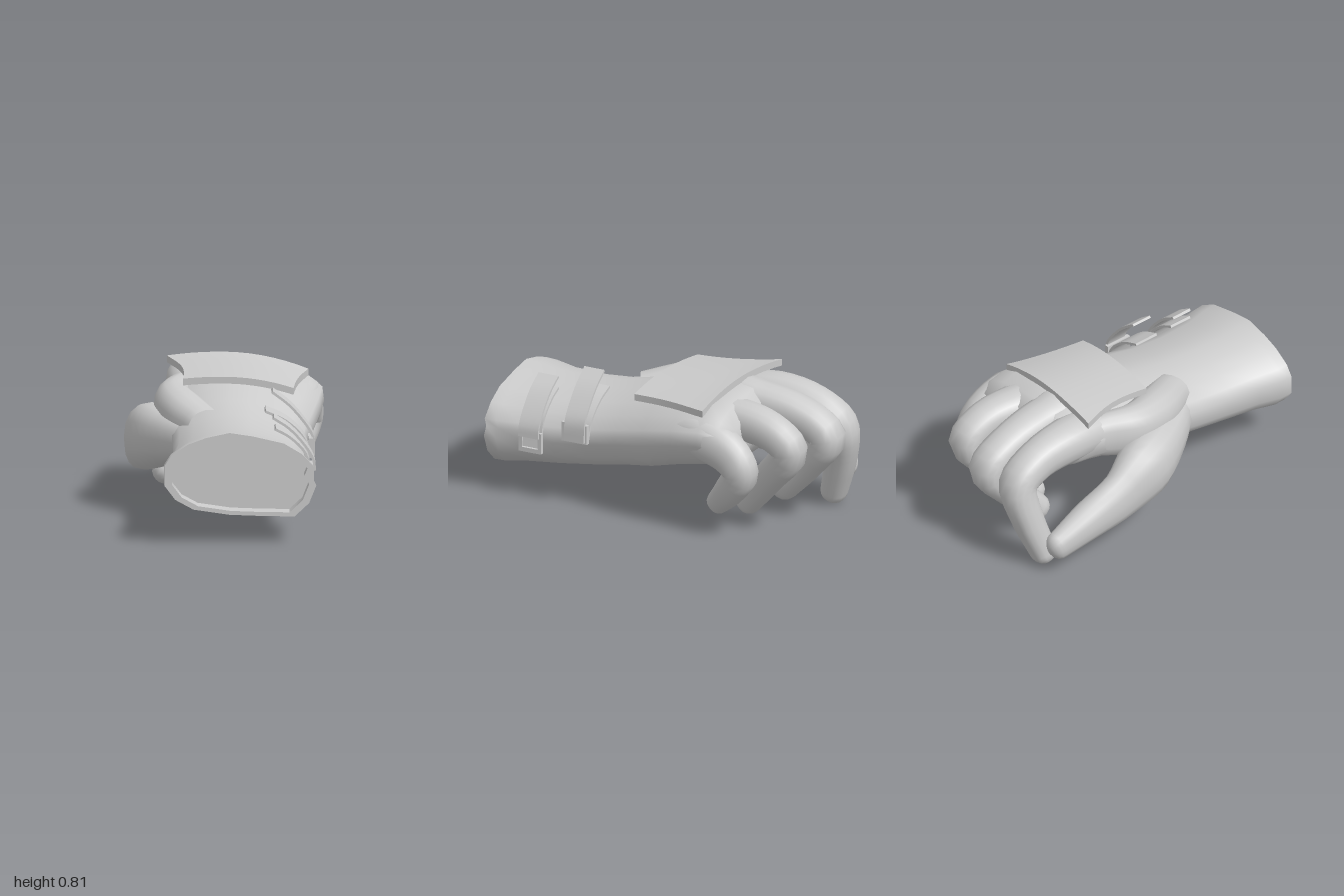
import * as THREE from 'three';
import { toCreasedNormals } from 'three/addons/utils/BufferGeometryUtils.js';

const material = new THREE.MeshStandardMaterial({ color: 0xcccccc });
const lerp = THREE.MathUtils.lerp;

function addMesh(group, name, geometry) {
  const mesh = new THREE.Mesh(geometry, material);
  mesh.name = name;
  group.add(mesh);
  return mesh;
}

// Skin over a list of closed rings, each an array of Vector3.
function loft(rings) {
  const n = rings[0].length, positions = [], index = [];
  rings.forEach(r => r.forEach(p => positions.push(p.x, p.y, p.z)));
  for (let i = 0; i < rings.length - 1; i++) {
    for (let j = 0; j < n; j++) {
      const a = i * n + j, b = i * n + (j + 1) % n;
      index.push(a, a + n, b, b, a + n, b + n);
    }
  }
  const g = new THREE.BufferGeometry();
  g.setAttribute('position', new THREE.Float32BufferAttribute(positions, 3));
  g.setIndex(index);
  g.computeVertexNormals();
  return g;
}

// Forearm cross-section, counter-clockwise, scaled to each station's bounds.
const SECTION = [
  [0.48, 0.33], [0.475, 0.38], [0.47, 0.43], [0.4, 0.505], [0.3, 0.565], [0.13, 0.605],
  [0, 0.625], [-0.13, 0.597], [-0.23, 0.56], [-0.32, 0.5], [-0.36, 0.44], [-0.36, 0.33],
  [-0.3, 0.25], [-0.2, 0.195], [0, 0.165], [0.2, 0.157], [0.36, 0.155], [0.44, 0.23],
];

function bodyRing([z, x0, x1, y0, y1], dent = 0) {
  return SECTION.map(([x, y], i) => new THREE.Vector3(
    lerp(x0, x1, (x + 0.36) / 0.84) - (i === 1 ? dent : 0),
    lerp(y0, y1, (y - 0.155) / 0.47), z));
}

// Finger-like limb: points are [x, y, z, half width, half height], with a round tip.
function limb(points, sides = 16, steps = 20) {
  const path = new THREE.CatmullRomCurve3(points.map(p => new THREE.Vector3(p[0], p[1], p[2])));
  const size = new THREE.CatmullRomCurve3(points.map(p => new THREE.Vector3(p[3], p[4], 0)));
  const rings = [];
  const soften = c => Math.sign(c) * Math.pow(Math.abs(c), 0.88);
  const ring = (centre, t, rx, ry) => {
    const s = new THREE.Vector3(1, 0, 0).addScaledVector(t, -t.x).normalize();
    const up = new THREE.Vector3().crossVectors(s, t);
    rings.push(Array.from({ length: sides }, (_, j) => {
      const a = j / sides * Math.PI * 2;
      return centre.clone().addScaledVector(s, soften(Math.cos(a)) * rx)
        .addScaledVector(up, soften(Math.sin(a)) * ry);
    }));
  };
  for (let i = 0; i <= steps; i++) {
    const k = i / steps, r = size.getPoint(k);
    ring(path.getPoint(k), path.getTangent(k), r.x, r.y);
  }
  const end = path.getPoint(1), t = path.getTangent(1), r = size.getPoint(1);
  for (let i = 1; i <= 5; i++) {
    const a = i / 5 * Math.PI / 2, c = Math.max(Math.cos(a), 0.002);
    ring(end.clone().addScaledVector(t, Math.sin(a) * r.x), t, r.x * c, r.y * c);
  }
  return loft(rings);
}

// Thin band following an x-y path, with its width along z.
function ribbon(points, z, width, thickness = 0.014) {
  const path = new THREE.CatmullRomCurve3(points.map(p => new THREE.Vector3(p[0], p[1], 0)));
  const outer = [], inner = [];
  for (let i = 0; i <= 12; i++) {
    const p = path.getPoint(i / 12), t = path.getTangent(i / 12);
    outer.push(new THREE.Vector2(p.x, p.y));
    inner.unshift(new THREE.Vector2(p.x + t.y * thickness, p.y - t.x * thickness));
  }
  const g = new THREE.ExtrudeGeometry(new THREE.Shape([...outer, ...inner]), { depth: width, bevelEnabled: false });
  g.translate(0, 0, z - width / 2);
  return toCreasedNormals(g, 0.6);
}

// Rectangular ring facing +x.
function buckleGeometry(width, height) {
  const rect = (w, h) => [[-w, -h], [w, -h], [w, h], [-w, h]].map(p => new THREE.Vector2(p[0] / 2, p[1] / 2));
  const shape = new THREE.Shape(rect(width, height));
  shape.holes.push(new THREE.Path(rect(width - 0.04, height - 0.05)));
  const g = new THREE.ExtrudeGeometry(shape, { depth: 0.025, bevelEnabled: false });
  return g.rotateY(Math.PI / 2);
}

export function createModel() {
  const model = new THREE.Group();
  model.name = 'glove';

  // Forearm, wrist and palm: [z, xMin, xMax, yMin, yMax]
  const cuff = [1, -0.36, 0.48, 0.155, 0.625];
  const stations = [
    cuff,
    [0.93, -0.36, 0.475, 0.155, 0.62],
    [0.8, -0.325, 0.44, 0.17, 0.605],
    [0.6, -0.305, 0.425, 0.19, 0.603],
    [0.4, -0.3, 0.425, 0.22, 0.62],
    [0.2, -0.31, 0.44, 0.26, 0.66],
    [0, -0.33, 0.485, 0.3, 0.715],
    [-0.2, -0.325, 0.525, 0.36, 0.755],
    [-0.38, -0.315, 0.548, 0.4, 0.775],
    [-0.48, -0.3, 0.53, 0.41, 0.755],
    [-0.55, -0.25, 0.49, 0.43, 0.7],
    [-0.58, 0.09, 0.091, 0.57, 0.571],
  ];
  addMesh(model, 'palmAndForearm', loft(stations.map((s, i) => bodyRing(s, i < 2 ? 0.022 : 0))));

  // Cuff rim and recessed opening
  const inset = z => [z, -0.318, 0.44, 0.178, 0.6];
  const lining = loft([
    bodyRing([0.9, 0.06, 0.0601, 0.39, 0.3901]),
    bodyRing(inset(0.9), 0.022), bodyRing(inset(1), 0.022), bodyRing(cuff, 0.022),
  ]);
  addMesh(model, 'cuffLining', toCreasedNormals(lining, 0.7));

  // Curled fingers, thumb and the web between thumb and hand
  const digits = {
    indexFinger: [
      [-0.18, 0.6, -0.25, 0.13, 0.12], [-0.2, 0.63, -0.48, 0.125, 0.12], [-0.205, 0.6, -0.72, 0.108, 0.11],
      [-0.215, 0.51, -0.86, 0.108, 0.1], [-0.265, 0.32, -0.845, 0.092, 0.09], [-0.32, 0.075, -0.77, 0.075, 0.075]],
    middleFinger: [
      [0.01, 0.64, -0.25, 0.12, 0.12], [0.01, 0.65, -0.48, 0.12, 0.12], [0, 0.61, -0.75, 0.108, 0.105],
      [-0.005, 0.515, -0.9, 0.108, 0.1], [-0.03, 0.34, -0.78, 0.095, 0.09], [-0.06, 0.16, -0.61, 0.085, 0.08]],
    ringFinger: [
      [0.21, 0.6, -0.25, 0.12, 0.12], [0.23, 0.62, -0.46, 0.12, 0.115], [0.265, 0.6, -0.69, 0.105, 0.105],
      [0.27, 0.51, -0.815, 0.1, 0.1], [0.2, 0.3, -0.65, 0.09, 0.09], [0.12, 0.105, -0.48, 0.075, 0.075]],
    littleFinger: [
      [0.4, 0.54, -0.2, 0.1, 0.11], [0.43, 0.55, -0.38, 0.11, 0.125], [0.45, 0.49, -0.54, 0.095, 0.115],
      [0.45, 0.4, -0.605, 0.095, 0.1], [0.405, 0.27, -0.52, 0.085, 0.088], [0.32, 0.15, -0.4, 0.068, 0.068]],
    thumb: [
      [-0.14, 0.44, 0.36, 0.1, 0.11], [-0.29, 0.43, 0.12, 0.14, 0.15], [-0.41, 0.4, -0.1, 0.145, 0.185],
      [-0.458, 0.32, -0.32, 0.098, 0.15], [-0.455, 0.25, -0.56, 0.09, 0.115], [-0.452, 0.18, -0.77, 0.065, 0.085]],
    thumbWeb: [
      [-0.12, 0.5, 0.32, 0.12, 0.13], [-0.24, 0.54, 0.1, 0.13, 0.15], [-0.29, 0.57, -0.08, 0.11, 0.145],
      [-0.25, 0.59, -0.26, 0.085, 0.13], [-0.21, 0.61, -0.4, 0.08, 0.1]],
  };
  for (const [name, points] of Object.entries(digits)) addMesh(model, name, limb(points));

  // Padded plate on the back of the hand: a box bent over the knuckles
  const plate = new THREE.BoxGeometry(1, 1, 1, 12, 1, 8);
  const pos = plate.attributes.position;
  for (let i = 0; i < pos.count; i++) {
    const u = pos.getX(i) + 0.5, v = pos.getZ(i) + 0.5, h = pos.getY(i) - 0.5;
    const waist = Math.sin(Math.PI * v) * lerp(0.04, -0.015, u);
    const x = lerp(lerp(-0.32, 0.46, u), lerp(-0.24, 0.37, u), v) + waist;
    const z = lerp(lerp(-0.44, -0.37, u), lerp(0.05, 0.11, u), v);
    const crown = lerp(0.81, 0.762, Math.pow(v, 0.8));
    pos.setXYZ(i, x, crown - x * x * (x > 0 ? 0.42 : 0.25) + h * 0.038, z);
  }
  addMesh(model, 'handPlate', toCreasedNormals(plate, 0.7));

  // Straps and buckles on the little-finger side of the wrist
  const straps = [
    ['wristStrapBase', [[0.21, 0.655], [0.32, 0.605], [0.42, 0.51], [0.46, 0.4]], 0.43, 0.15],
    ['wristStrapEnd', [[0.25, 0.76], [0.34, 0.69], [0.42, 0.6], [0.475, 0.51], [0.482, 0.4]], 0.43, 0.125],
    ['forearmStrapBase', [[0.26, 0.61], [0.34, 0.565], [0.43, 0.47], [0.465, 0.31]], 0.72, 0.14],
    ['forearmStrapEnd', [[0.25, 0.67], [0.34, 0.61], [0.43, 0.51], [0.475, 0.43], [0.482, 0.37]], 0.72, 0.125],
  ];
  for (const [name, points, z, width] of straps) addMesh(model, name, ribbon(points, z, width));
  addMesh(model, 'wristBuckle', buckleGeometry(0.16, 0.11)).position.set(0.445, 0.445, 0.435);
  addMesh(model, 'forearmBuckle', buckleGeometry(0.14, 0.12)).position.set(0.445, 0.34, 0.715);

  return model;
}
